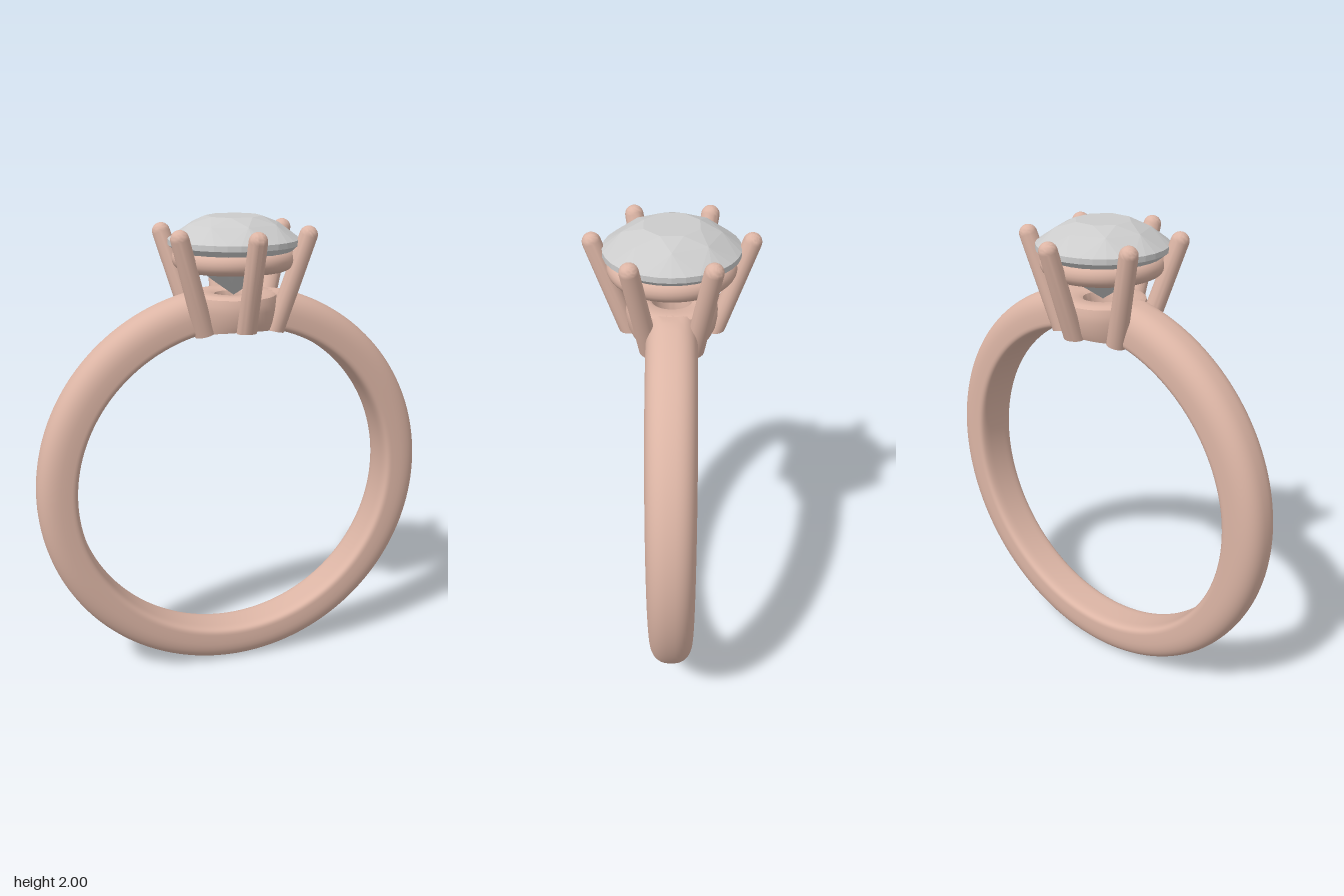
import * as THREE from 'three';
import { mergeVertices, toCreasedNormals } from 'three/addons/utils/BufferGeometryUtils.js';
import { ParametricGeometry } from 'three/addons/geometries/ParametricGeometry.js';
import { ConvexGeometry } from 'three/addons/geometries/ConvexGeometry.js';

const CENTER_Y = 0.86, INNER_R = 0.695, FLAT_Y = 1.695;
const metal = new THREE.MeshStandardMaterial({ color: 0xdcb5a5 });
const stoneMat = new THREE.MeshStandardMaterial({ color: 0xcccccc, flatShading: true });

function add(parent, name, geometry, material = metal) {
  const mesh = new THREE.Mesh(geometry, material);
  mesh.name = name;
  parent.add(mesh);
  return mesh;
}

// Trims the underside of a setting part to the round finger hole
function trimToFingerHole(geometry) {
  const p = geometry.attributes.position;
  for (let i = 0; i < p.count; i++) {
    const floor = CENTER_Y + Math.sqrt(INNER_R ** 2 - p.getX(i) ** 2);
    p.setY(i, Math.max(p.getY(i), floor));
  }
  return toCreasedNormals(geometry, 0.6);
}

// Band: domed outside, flatter inside, slightly narrower at the bottom,
// its two ends buried in the collet
function bandGeometry() {
  const start = 0.17;
  const pow = (v, e) => Math.sign(v) * Math.abs(v) ** e;
  const g = new ParametricGeometry((u, v, target) => {
    const t = u * Math.PI * 2, phi = start + v * (Math.PI * 2 - 2 * start);
    const c = Math.cos(t), s = Math.sin(t);
    const e = s > 0 ? 0.8 : 0.4;
    const r = INNER_R + 0.055 + (s > 0 ? 0.11 : 0.055) * pow(s, e);
    const halfWidth = 0.095 + 0.006 * Math.cos(phi);
    const y = CENTER_Y + r * Math.cos(phi);
    target.set(r * Math.sin(phi), Math.min(y, FLAT_Y), -halfWidth * pow(c, e));
  }, 48, 160);
  g.deleteAttribute('uv');
  g.deleteAttribute('normal');
  const merged = mergeVertices(g, 1e-5);
  merged.computeVertexNormals();
  return merged;
}

// Collet: short thick ring with a through hole under the stone
function colletGeometry() {
  const profile = [
    [0.075, 1.5], [0.105, 1.5], [0.135, 1.5], [0.163, 1.5], [0.175, 1.58], [0.183, 1.63],
    [0.183, 1.66], [0.176, 1.685], [0.16, FLAT_Y], [0.1, FLAT_Y], [0.082, 1.685],
    [0.075, 1.66], [0.075, 1.5],
  ].map(([x, y]) => new THREE.Vector2(x, y));
  return trimToFingerHole(new THREE.LatheGeometry(profile, 64));
}

// Prong: tapered rod with a domed tip, leaning outward
function prongGeometry(angle) {
  const length = 0.421, r = 0.037;
  const profile = [new THREE.Vector2(0, 0), new THREE.Vector2(0.041, 0)];
  for (let i = 0; i <= 8; i++) {
    const a = (i / 8) * Math.PI / 2;
    profile.push(new THREE.Vector2(i === 8 ? 0 : r * Math.cos(a), length + r * Math.sin(a)));
  }
  const g = new THREE.LatheGeometry(profile, 24);
  g.rotateX(0.32);
  g.translate(0, 1.53, 0.173);
  g.rotateY(angle);
  return trimToFingerHole(g);
}

// Stone: round brilliant made from staggered rings of corners
function stoneGeometry() {
  const points = [new THREE.Vector3(0, 1.68, 0)];
  const ring = (n, r, y, offset = 0) => {
    for (let i = 0; i < n; i++) {
      const a = ((i + offset) / n) * Math.PI * 2;
      points.push(new THREE.Vector3(r * Math.sin(a), y, r * Math.cos(a)));
    }
  };
  ring(8, 0.115, 2.0, 0.5);   // table
  ring(8, 0.19, 1.97);        // crown
  ring(32, 0.268, 1.91);      // girdle top
  ring(32, 0.268, 1.888);     // girdle bottom
  ring(8, 0.09, 1.741, 0.5);  // pavilion
  return new ConvexGeometry(points);
}

export function createModel() {
  const model = new THREE.Group();
  model.name = 'ring';
  add(model, 'band', bandGeometry());

  const setting = new THREE.Group();
  setting.name = 'setting';
  model.add(setting);
  add(setting, 'collet', colletGeometry());

  // Gallery ring that carries the stone
  const gallery = new THREE.TorusGeometry(0.208, 0.045, 20, 72);
  gallery.rotateX(Math.PI / 2);
  add(setting, 'galleryRing', gallery).position.y = 1.832;

  for (let i = 0; i < 6; i++) add(setting, 'prong', prongGeometry((i * Math.PI) / 3));

  add(model, 'stone', stoneGeometry(), stoneMat);
  return model;
}
